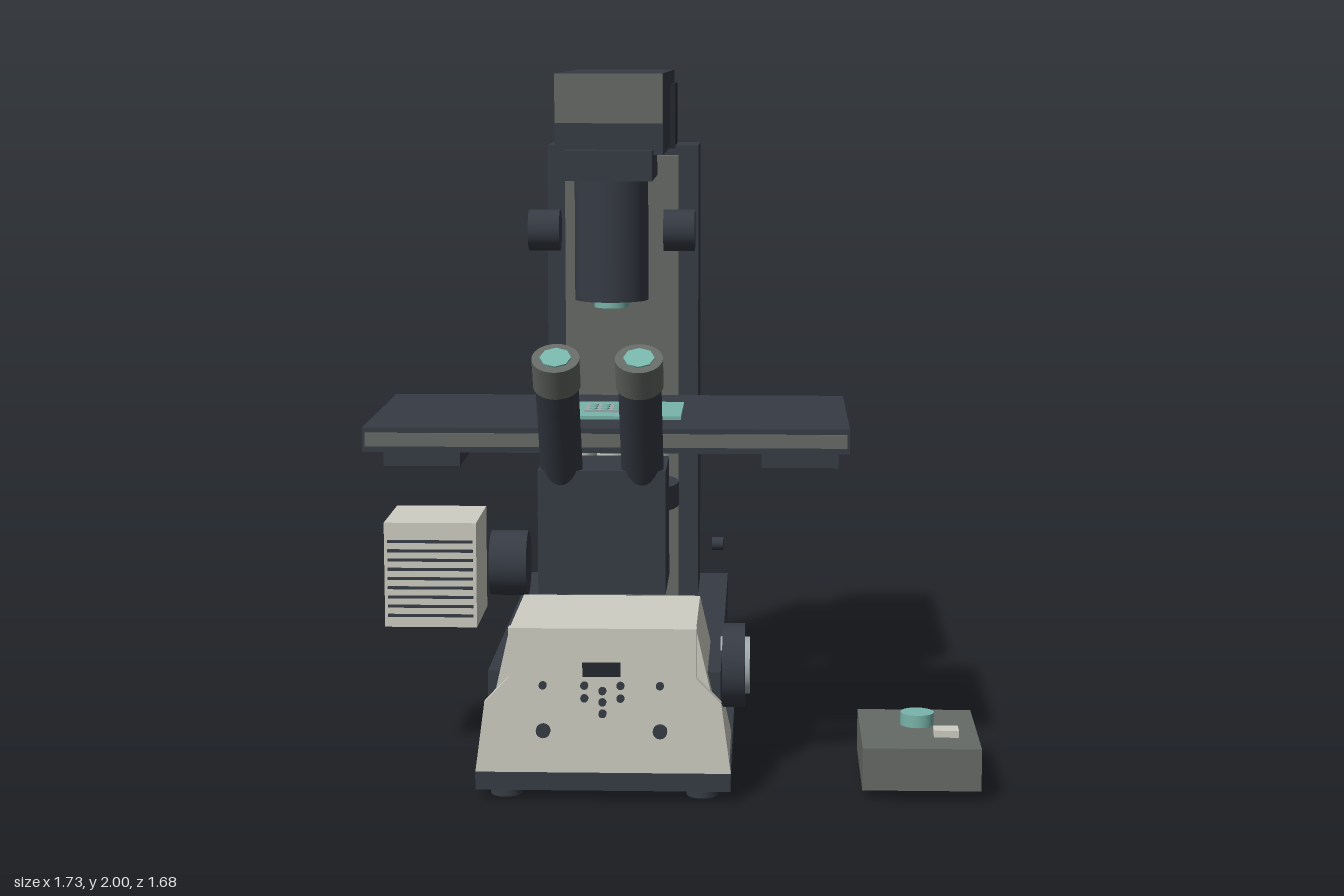
import * as THREE from 'three';

const mat = (name, color) => Object.assign(new THREE.MeshStandardMaterial({ color }), { name });

export function createModel() {
  const model = new THREE.Group();
  model.name = 'microscope';
  const dark = mat('charcoal', 0x363b44);
  const grey = mat('grey', 0x666a66);
  const cream = mat('cream', 0xcfcec3);
  const teal = mat('teal', 0x78b4aa);
  const silver = mat('silver', 0x9ea9ac);
  const black = mat('black', 0x24272c);
  const CX = -0.185; // centre line of the stand

  function add(name, geometry, material, x = 0, y = 0, z = 0) {
    const mesh = new THREE.Mesh(geometry, material);
    mesh.name = name;
    mesh.position.set(x, y, z);
    model.add(mesh);
    return mesh;
  }
  // Box given by its extents on each axis
  const box = (name, m, x0, x1, y0, y1, z0, z1) =>
    add(name, new THREE.BoxGeometry(x1 - x0, y1 - y0, z1 - z0), m,
      (x0 + x1) / 2, (y0 + y1) / 2, (z0 + z1) / 2);
  // Cylinder centred at a point, along one axis
  function cyl(name, m, r, h, x, y, z, axis = 'y') {
    const c = add(name, new THREE.CylinderGeometry(r, r, h, 32), m, x, y, z);
    if (axis === 'x') c.rotation.z = -Math.PI / 2;
    if (axis === 'z') c.rotation.x = Math.PI / 2;
    return c;
  }
  // Symmetric front outline from [halfWidth, y] pairs, extruded between two depths
  function slab(name, m, outline, z0, z1) {
    const pts = [...outline.map(([w, y]) => new THREE.Vector2(w, y)),
      ...outline.map(([w, y]) => new THREE.Vector2(-w, y)).reverse()];
    const g = new THREE.ExtrudeGeometry(new THREE.Shape(pts), { depth: z1 - z0, bevelEnabled: false });
    return add(name, g, m, CX, 0, z0);
  }

  // Base
  box('basePlate', dark, -0.54, 0.17, 0.03, 0.08, -0.84, 0.64);
  box('baseBody', dark, -0.51, 0.14, 0.08, 0.35, -0.8, 0.56);
  for (const x of [-0.46, 0.09]) for (const z of [0.56, -0.735]) {
    cyl('foot', dark, 0.045, 0.03, x, 0.015, z);
  }

  // Front housing and control panel
  slab('frontHousing', cream, [[0.35, 0.08], [0.258, 0.485]], 0.18, 0.615);
  slab('lowerPanel', cream, [[0.355, 0.08], [0.328, 0.28]], 0.61, 0.635);
  slab('upperPanel', cream, [[0.328, 0.28], [0.26, 0.35], [0.26, 0.49]], 0.61, 0.64);
  box('display', black, -0.24, -0.135, 0.355, 0.395, 0.64, 0.646);
  for (const [x, y] of [[-0.35, 0.33], [-0.235, 0.33], [-0.135, 0.33], [-0.026, 0.33], [-0.235, 0.294],
    [-0.135, 0.294], [CX, 0.315], [CX, 0.283], [CX, 0.25]]) {
    cyl('button', dark, 0.011, 0.016, x, y, 0.64, 'z');
  }
  for (const x of [-0.35, -0.026]) cyl('socket', dark, 0.02, 0.016, x, 0.2, 0.638, 'z');

  // Focus knob
  cyl('focusKnob', dark, 0.122, 0.065, 0.173, 0.293, 0.238, 'x');
  cyl('focusKnobCap', silver, 0.083, 0.085, 0.177, 0.293, 0.238, 'x');

  // Column
  box('column', dark, -0.42, 0.05, 0.35, 1.77, -0.745, -0.46);
  box('columnPanel', grey, -0.36, -0.01, 0.36, 1.74, -0.46, -0.4);
  cyl('columnKnob', dark, 0.02, 0.035, 0.113, 0.52, -0.44, 'x');

  // Upper arm with vent fins on both sides
  box('arm', dark, -0.34, -0.033, 1.77, 2, -0.72, 0.23);
  box('armFrontPlate', grey, -0.34, -0.033, 1.86, 2, 0.23, 0.238);
  for (let i = 0; i < 16; i++) {
    const z = -0.355 - i * 0.0215;
    box('ventFin', black, -0.352, -0.021, 1.765, 1.96, z - 0.004, z + 0.004);
  }

  // Condenser
  box('condenserBracket', dark, -0.31, -0.06, 1.7, 1.785, -0.035, 0.305);
  cyl('condenserBarrel', dark, 0.106, 0.35, CX, 1.525, 0.135);
  cyl('condenserLens', teal, 0.05, 0.03, CX, 1.343, 0.135);
  for (const s of [-1, 1]) cyl('condenserKnob', dark, 0.06, 0.09, CX + s * 0.195, 1.548, 0.108, 'x');

  // Stage, slide holder and side drives
  box('stage', dark, -0.868, 0.497, 0.95, 1.02, -0.235, 0.46);
  box('stageFrontStrip', grey, -0.86, 0.49, 0.967, 1.005, 0.46, 0.466);
  box('slideHolder', teal, -0.39, 0.02, 1.02, 1.03, -0.015, 0.29);
  box('wellPlate', silver, -0.26, -0.11, 1.03, 1.036, 0.075, 0.21);
  for (let i = 0; i < 4; i++) for (let j = 0; j < 3; j++) {
    cyl('well', teal, 0.012, 0.004, CX + (i - 1.5) * 0.035, 1.037, 0.1425 + (j - 1) * 0.04);
  }
  box('stageDriveRight', dark, -0.855, -0.63, 0.86, 0.99, -0.282, 0.15);
  box('stageDriveLeft', dark, 0.25, 0.475, 0.86, 0.99, -0.278, 0.15);

  // Nosepiece with three objectives
  cyl('nosepiece', dark, 0.19, 0.07, CX, 0.76, 0.015);
  for (let i = 0; i < 3; i++) {
    const a = i * Math.PI * 2 / 3;
    const x = CX + Math.sin(a) * 0.13, z = 0.015 + Math.cos(a) * 0.13;
    cyl('objective', cream, 0.045, 0.125, x, 0.877, z);
    cyl('objectiveLens', teal, 0.025, 0.01, x, 0.944, z);
  }

  // Binocular head and angled eyepieces
  box('binocularHead', dark, -0.36, -0.01, 0.588, 0.93, 0.375, 0.643);
  for (const x of [-0.297, -0.075]) {
    const eyepiece = new THREE.Group();
    eyepiece.name = 'eyepiece';
    const parts = [['tube', dark, 0.058, -0.39, -0.08], ['eyecup', grey, 0.064, -0.09, 0],
      ['eyeLens', teal, 0.042, -0.01, 0.004]];
    for (const [name, m, r, y0, y1] of parts) {
      const p = new THREE.Mesh(new THREE.CylinderGeometry(r, r, y1 - y0, name === 'eyeLens' ? 8 : 32), m);
      p.name = name;
      p.position.y = (y0 + y1) / 2;
      eyepiece.add(p);
    }
    eyepiece.position.set(x, 1.257, 0.788);
    eyepiece.rotation.x = Math.PI / 6;
    model.add(eyepiece);
  }

  // Lamp house with louvres
  box('lampHouse', cream, -0.85, -0.58, 0.39, 0.7, -0.085, 0.2);
  for (let i = 0; i < 9; i++) {
    const y = 0.425 + i * 0.0275;
    box('louvre', dark, -0.84, -0.59, y - 0.004, y + 0.004, 0.2, 0.206);
  }
  cyl('lampCollar', dark, 0.096, 0.11, -0.495, 0.555, 0.055, 'x');

  // Separate control box
  box('controlBox', grey, 0.535, 0.865, 0.03, 0.15, 0.183, 0.612);
  cyl('controlDial', teal, 0.048, 0.036, 0.7, 0.168, 0.345);
  box('controlSwitch', cream, 0.74, 0.81, 0.15, 0.17, 0.435, 0.492);

  return model;
}
